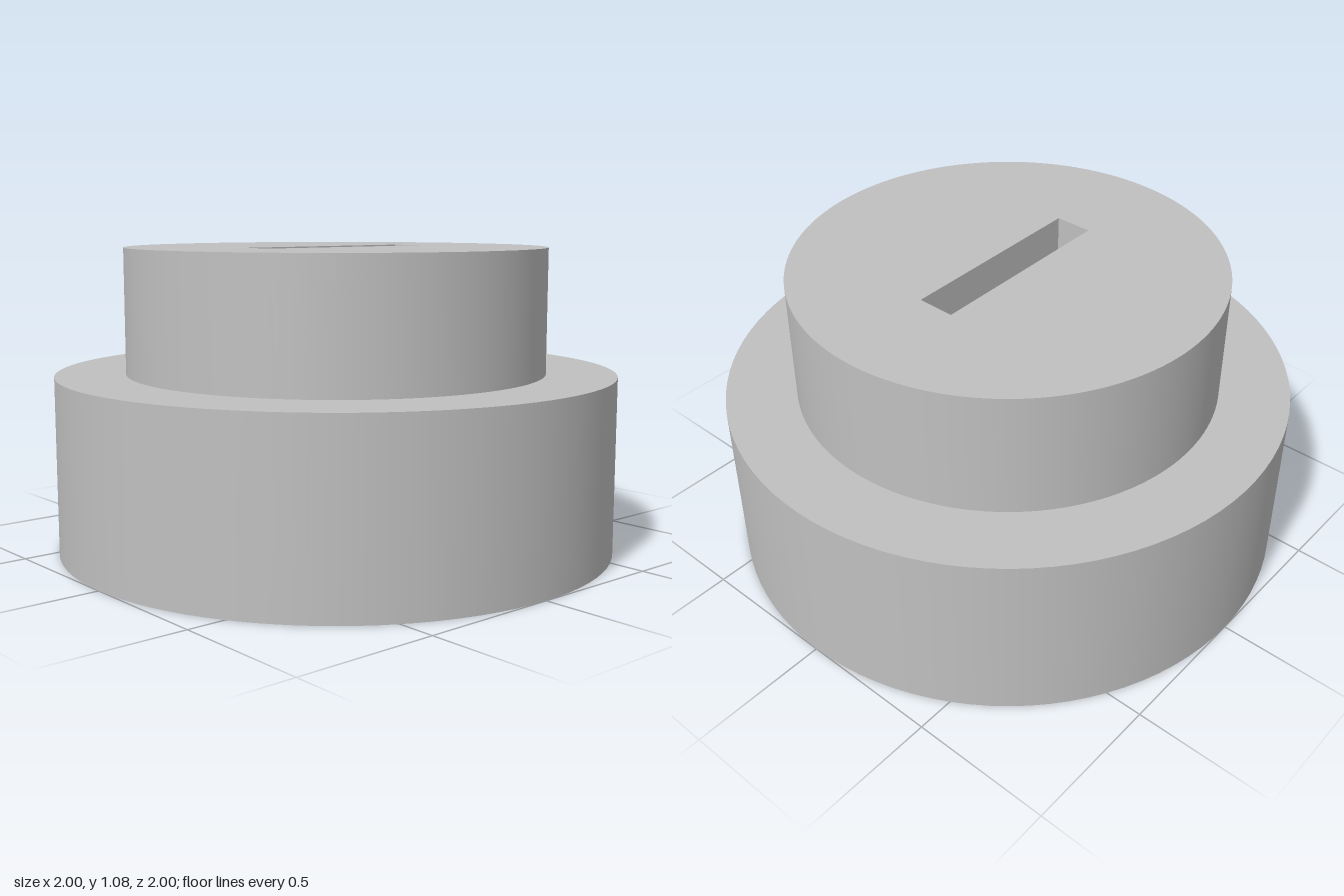
import * as THREE from 'three';
import { toCreasedNormals } from 'three/addons/utils/BufferGeometryUtils.js';

const BASE_HEIGHT = 0.63, TOTAL_HEIGHT = 1.075, KNOB_RADIUS = 0.752;
const SLOT_LENGTH = 0.71, SLOT_WIDTH = 0.134, SLOT_DEPTH = 0.2;

export function createModel() {
  const model = new THREE.Group();
  const grey = new THREE.MeshStandardMaterial({ color: 0xc0c0c0 });
  grey.name = 'grey';

  function add(name, geometry, y) {
    const mesh = new THREE.Mesh(geometry, grey);
    mesh.name = name;
    mesh.position.y = y;
    model.add(mesh);
  }

  // Wide lower disc
  add('base', new THREE.CylinderGeometry(1, 1, BASE_HEIGHT, 96), BASE_HEIGHT / 2);

  // Narrower upper disc with a rectangular slot cut into it
  const outline = new THREE.Shape().absarc(0, 0, KNOB_RADIUS, 0, Math.PI * 2);
  const x = SLOT_LENGTH / 2, z = SLOT_WIDTH / 2;
  outline.holes.push(new THREE.Path([
    new THREE.Vector2(-x, -z), new THREE.Vector2(-x, z),
    new THREE.Vector2(x, z), new THREE.Vector2(x, -z),
  ]).closePath());
  const knob = new THREE.ExtrudeGeometry(outline, {
    depth: TOTAL_HEIGHT - BASE_HEIGHT, bevelEnabled: false, curveSegments: 96,
  });
  knob.rotateX(-Math.PI / 2);
  add('knob', toCreasedNormals(knob, Math.PI / 6), BASE_HEIGHT);

  // Fill below the slot, forming its floor
  const fill = TOTAL_HEIGHT - BASE_HEIGHT - SLOT_DEPTH;
  add('slotFloor', new THREE.BoxGeometry(SLOT_LENGTH, fill, SLOT_WIDTH), BASE_HEIGHT + fill / 2);

  return model;
}
